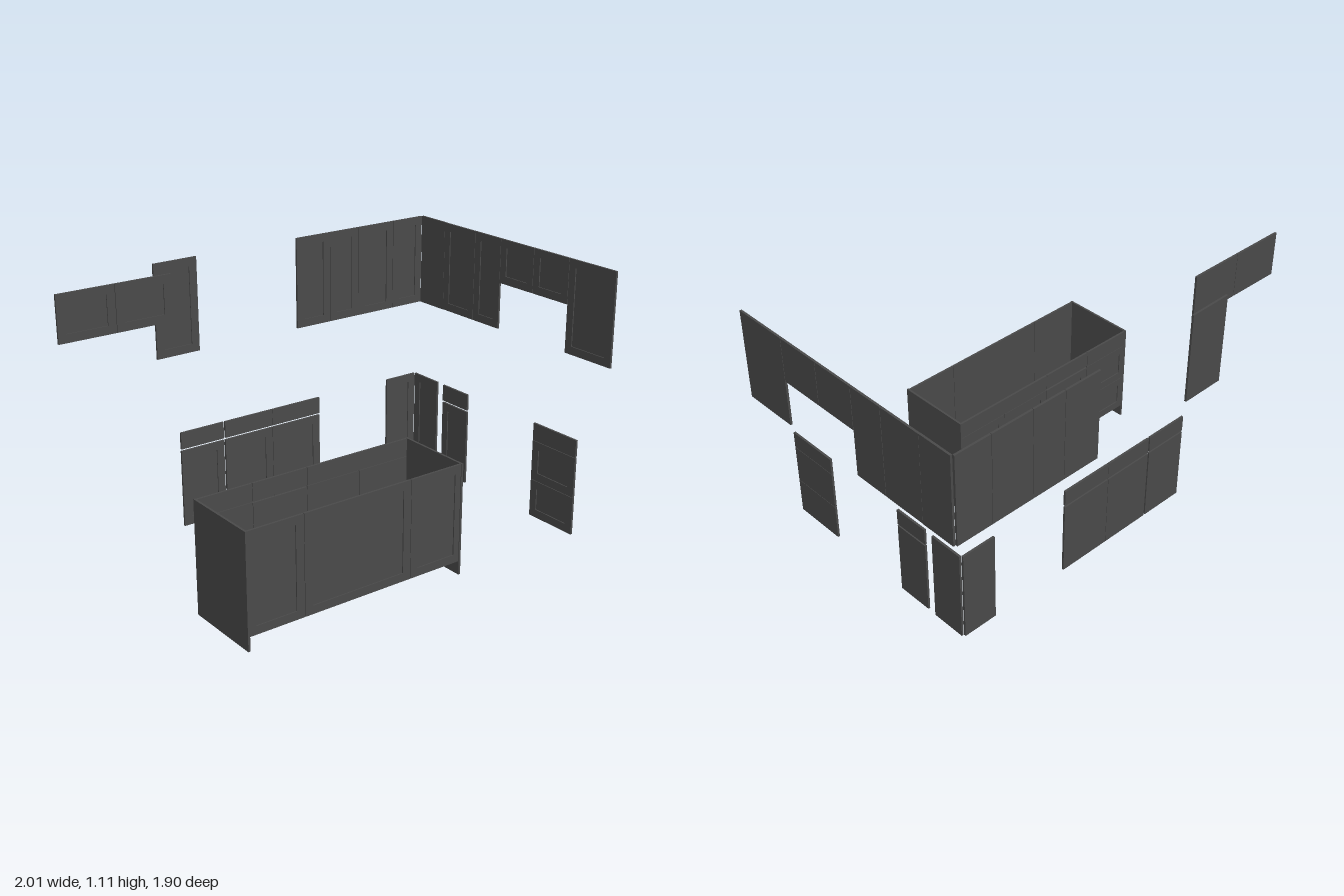
import * as THREE from 'three';

const THICK = 0.009;   // panel thickness
const GAP = 0.002;     // reveal around each front
const RAIL = 0.034;    // width of the door frame
const BASE = 0.055, TOP = 0.46, SPLIT = 0.385;
const material = new THREE.MeshStandardMaterial({ color: 0x4a4a4a });

function rectangle(path, x, y, w, h) {
  path.moveTo(x, y);
  path.lineTo(x + w, y);
  path.lineTo(x + w, y + h);
  path.lineTo(x, y + h);
  path.closePath();
  return path;
}

function slab(name, x0, x1, y0, y1, thick = THICK) {
  const mesh = new THREE.Mesh(new THREE.BoxGeometry(x1 - x0, y1 - y0, thick), material);
  mesh.position.set((x0 + x1) / 2, (y0 + y1) / 2, -THICK + thick / 2);
  mesh.name = name;
  return mesh;
}

// A framed front with a recessed centre; low drawers stay plain
function front(name, x0, x1, y0, y1) {
  const group = new THREE.Group();
  group.name = name;
  x0 += GAP / 2; x1 -= GAP / 2; y0 += GAP / 2; y1 -= GAP / 2;
  const w = x1 - x0, h = y1 - y0;
  if (h < 0.1) {
    group.add(slab('plainFront', x0, x1, y0, y1));
    return group;
  }
  const shape = rectangle(new THREE.Shape(), x0, y0, w, h);
  shape.holes.push(rectangle(new THREE.Path(), x0 + RAIL, y0 + RAIL, w - 2 * RAIL, h - 2 * RAIL));
  const frame = new THREE.Mesh(
    new THREE.ExtrudeGeometry(shape, { depth: THICK, bevelEnabled: false }), material);
  frame.position.z = -THICK;
  frame.name = 'doorFrame';
  group.add(frame, slab('centrePanel', x0 + RAIL, x1 - RAIL, y0 + RAIL, y1 - RAIL, THICK * 0.5));
  return group;
}

// A run goes from its left end to its right end as seen by someone facing it.
// Each front is [kind, start, end, bottom, top], start and end as fractions.
function run(name, from, to, fronts) {
  const dx = to[0] - from[0], dz = to[1] - from[1], length = Math.hypot(dx, dz);
  const group = new THREE.Group();
  group.name = name;
  group.position.set(from[0], 0, from[1]);
  group.rotation.y = Math.atan2(-dz, dx);
  for (const [kind, a, b, y0, y1] of fronts) {
    group.add(kind === 'panel'
      ? slab('endPanel', a * length, b * length, y0, y1)
      : front(kind, a * length, b * length, y0, y1));
  }
  return group;
}

// Common layouts
const doors = (cuts, y0, y1) =>
  cuts.slice(1).map((end, i) => ['door', cuts[i], end, y0, y1]);
const drawerOverDoor = (a, b) => [
  ['door', a, b, BASE, SPLIT - 0.003],
  ['drawer', a, b, SPLIT + 0.003, TOP],
];
const drawerStack = (a, b) => [
  ['drawer', a, b, BASE, 0.215],
  ['drawer', a, b, 0.215, SPLIT],
  ['drawer', a, b, SPLIT, TOP],
];

export function createModel() {
  const model = new THREE.Group();
  model.name = 'kitchenCabinetFronts';
  const LOW = 0.72, MID = 0.92, HIGH = 1.11;

  model.add(
    // Wall cabinets meeting in the back corner
    run('upperLeftRun', [-0.29, -0.477], [0.185, -0.95],
      doors([0, 0.255, 0.48, 0.76, 1], LOW, HIGH)),
    run('upperRightRun', [0.185, -0.95], [0.997, -0.14], [
      ['panel', 0, 0.134, LOW, HIGH],
      ...doors([0.134, 0.305, 0.443], LOW, HIGH),
      ...doors([0.443, 0.613, 0.785], MID, HIGH),
      ...doors([0.785, 1], LOW, HIGH),
    ]),
    // Short and tall wall cabinets at the far side
    run('upperShortPair', [-0.998, 0.458], [-0.66, 0.122], doors([0, 0.5, 1], MID, HIGH)),
    run('upperTallDoor', [-0.765, 0.003], [-0.628, -0.138], doors([0, 1], LOW, HIGH)),

    // Base cabinets along the walls
    run('baseLeftRun', [-0.655, 0.112], [-0.18, -0.363], [
      ...drawerOverDoor(0, 0.296),
      ...drawerOverDoor(0.304, 0.645),
      ...drawerOverDoor(0.645, 1),
    ]),
    run('baseCornerLeft', [0.075, -0.615], [0.185, -0.725], doors([0, 1], BASE, TOP)),
    run('baseCornerRight', [0.185, -0.725], [0.293, -0.617], doors([0, 1], BASE, TOP)),
    run('baseNarrowCabinet', [0.32, -0.588], [0.432, -0.476], drawerOverDoor(0, 1)),
    run('baseDrawerStack', [0.714, -0.195], [0.882, -0.027], drawerStack(0, 1)),

    // Island
    run('islandFront', [-0.22, 0.942], [0.462, 0.26], doors([0, 0.25, 0.745, 1], BASE, TOP)),
    run('islandBack', [0.23, 0.03], [-0.455, 0.711], [
      ...doors([0, 0.25, 0.5], BASE, SPLIT),
      ['drawer', 0, 0.5, SPLIT, TOP],
      ...drawerOverDoor(0.5, 0.75),
      ...drawerStack(0.75, 1),
    ]),
    run('islandLeftEnd', [-0.455, 0.711], [-0.22, 0.944], [['panel', 0, 1, 0, TOP]]),
    run('islandRightEnd', [0.464, 0.262], [0.23, 0.03], [['panel', 0, 1, 0, TOP]]),
  );
  return model;
}
